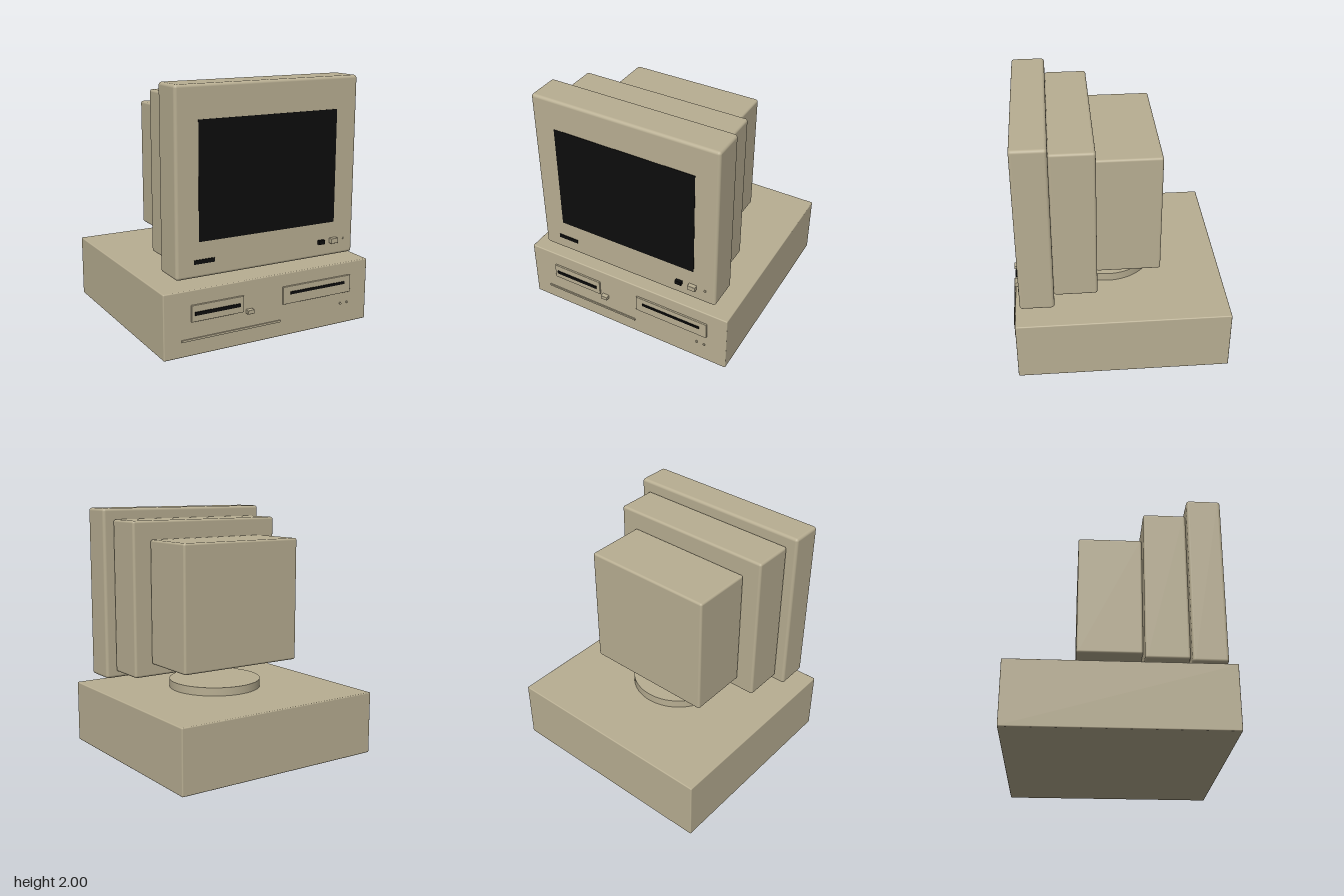
import * as THREE from 'three';
import { RoundedBoxGeometry } from 'three/addons/geometries/RoundedBoxGeometry.js';

export function createModel() {
  const model = new THREE.Group();
  model.name = 'desktopComputer';

  const beige = new THREE.MeshStandardMaterial({ color: 0xb8ae92 });
  beige.name = 'beige plastic';
  const black = new THREE.MeshStandardMaterial({ color: 0x0c0c0c });
  black.name = 'black';

  const add = (parent, name, geometry, material, x, y, z) => {
    const mesh = new THREE.Mesh(geometry, material);
    mesh.name = name;
    mesh.position.set(x, y, z);
    parent.add(mesh);
    return mesh;
  };

  // Box given by its limits on each axis; a radius rounds its edges
  const block = (parent, name, material, [x0, x1], [y0, y1], [z0, z1], radius = 0) => {
    const size = [x1 - x0, y1 - y0, z1 - z0];
    const geometry = radius
      ? new RoundedBoxGeometry(...size, 3, radius)
      : new THREE.BoxGeometry(...size);
    return add(parent, name, geometry, material, (x0 + x1) / 2, (y0 + y1) / 2, (z0 + z1) / 2);
  };

  // Small round lamp facing forward
  const lamp = (parent, name, x, y, z) => {
    const geometry = new THREE.CylinderGeometry(0.009, 0.009, 0.02, 12).rotateX(Math.PI / 2);
    return add(parent, name, geometry, beige, x, y, z);
  };

  // System unit
  const unit = new THREE.Group();
  unit.name = 'systemUnit';
  model.add(unit);
  const face = 0.832;
  block(unit, 'case', beige, [-0.912, 0.912], [0, 0.512], [-0.868, face], 0.009);
  block(unit, 'leftDrivePanel', beige, [-0.69, -0.246], [0.267, 0.397], [0.8, 0.846], 0.004);
  block(unit, 'leftDriveSlot', black, [-0.664, -0.278], [0.317, 0.344], [0.845, 0.853]);
  block(unit, 'ejectButton', beige, [-0.225, -0.167], [0.249, 0.281], [0.82, 0.868], 0.004);
  block(unit, 'rightDrivePanel', beige, [0.103, 0.743], [0.262, 0.405], [0.8, 0.846], 0.004);
  block(unit, 'rightDriveSlot', black, [0.167, 0.68], [0.339, 0.36], [0.845, 0.853]);
  block(unit, 'trimStrip', beige, [-0.77, 0.082], [0.122, 0.138], [0.82, 0.841]);
  for (const x of [0.656, 0.722]) lamp(unit, 'statusLamp', x, 0.173, face);

  // Swivel foot between the case and the monitor
  add(model, 'swivelBase', new THREE.CylinderGeometry(0.383, 0.383, 0.075, 64), beige, 0, 0.5425, 0.068);

  // Monitor: three stepped shells
  const monitor = new THREE.Group();
  monitor.name = 'monitor';
  model.add(monitor);
  const front = 0.792;
  block(monitor, 'bezel', beige, [-0.785, 0.785], [0.58, 2], [0.52, front], 0.024);
  block(monitor, 'middleShell', beige, [-0.7, 0.7], [0.637, 1.91], [0.178, 0.52], 0.02);
  block(monitor, 'rearShell', beige, [-0.55, 0.55], [0.74, 1.758], [-0.335, 0.178], 0.018);
  block(monitor, 'screen', black, [-0.6, 0.597], [0.854, 1.748], [front - 0.003, front + 0.003]);

  // Controls below the screen
  block(monitor, 'badgePlate', black, [-0.643, -0.469], [0.688, 0.72], [front - 0.002, front + 0.006]);
  block(monitor, 'darkButton', black, [0.447, 0.501], [0.688, 0.72], [0.78, 0.819]);
  block(monitor, 'powerButton', beige, [0.558, 0.625], [0.683, 0.725], [0.78, 0.826], 0.005);
  lamp(monitor, 'powerLamp', 0.698, 0.704, front - 0.002);

  return model;
}
